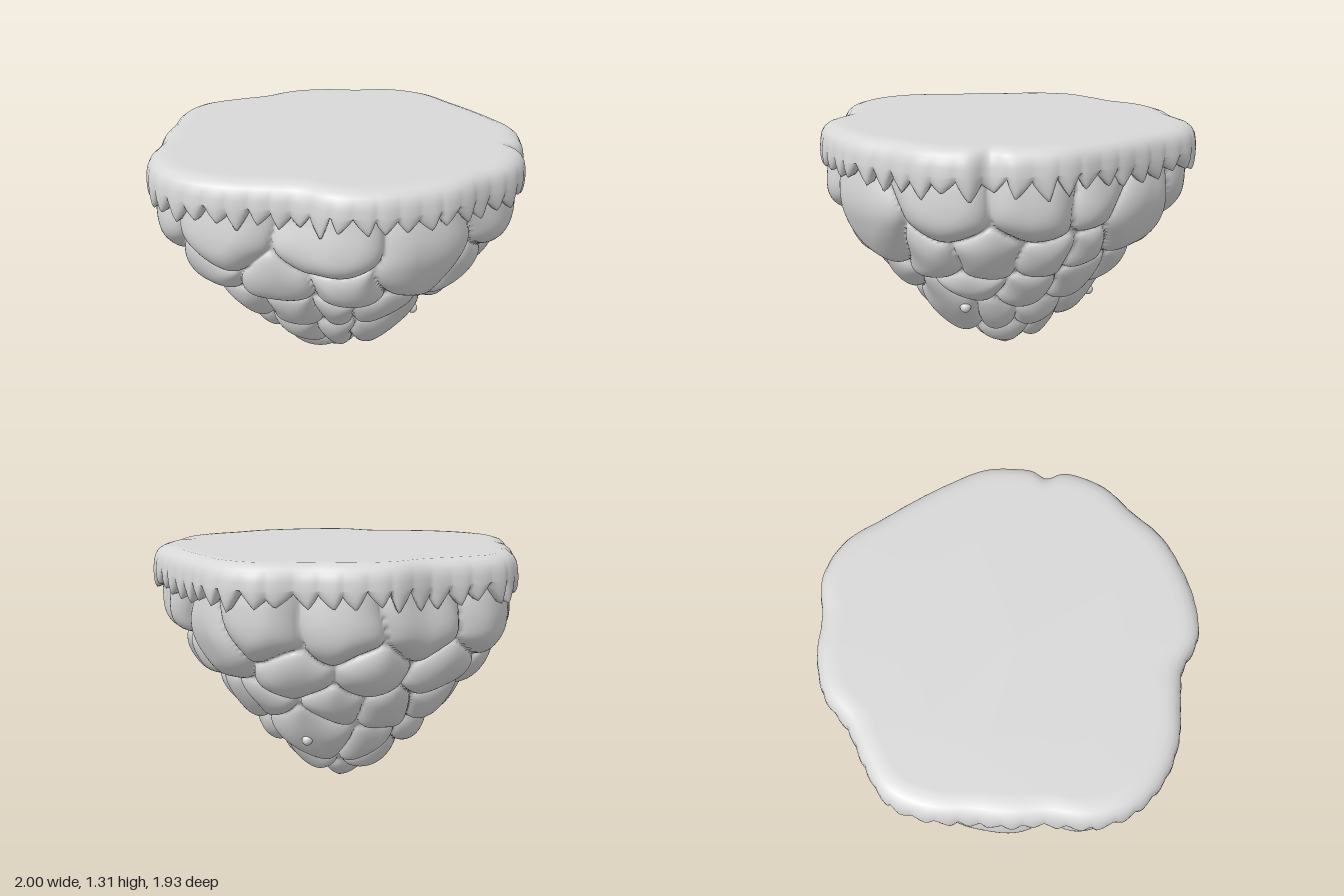
import * as THREE from 'three';

// Rim radius every 12 degrees, from +z towards +x
const RIM = [.95, .97, .97, 1.02, 1.03, 1.02, 1.03, 1, .99, 1.01, 1.07, 1.07, 1, 1, .985,
  .93, .955, 1, .97, .91, .9, .9, .97, 1, .98, .925, .855, .83, .91, .935];

function rimRadius(az) {
  const n = RIM.length, f = ((az / (2 * Math.PI)) % 1 + 1) % 1 * n;
  const i = Math.floor(f), t = f - i;
  const [a, b, c, d] = [-1, 0, 1, 2].map(k => RIM[(i + k + n) % n]);
  return b + .5 * t * (c - a + t * (2 * a - 5 * b + 4 * c - d + t * (3 * (b - c) + d - a)));
}

const hash = i => { const s = Math.sin(i * 127.1 + 3.7) * 43758.5453; return s - Math.floor(s); };

// Closed-ring surface: rows run top to bottom, columns wrap around the axis
function ringSurface(rows, cols, pointAt) {
  const pos = [], idx = [];
  for (let i = 0; i <= rows; i++)
    for (let j = 0; j < cols; j++) {
      pos.push(...pointAt(i, j / cols * 2 * Math.PI, j).toArray());
      if (i === rows) continue;
      const a = i * cols + j, b = i * cols + (j + 1) % cols;
      idx.push(a, a + cols, b, b, a + cols, b + cols);
    }
  const g = new THREE.BufferGeometry();
  g.setAttribute('position', new THREE.Float32BufferAttribute(pos, 3));
  g.setIndex(idx);
  g.computeVertexNormals();
  return g;
}

// Underlying cone of the island, before the boulders swell out
const PROFILE = new THREE.SplineCurve([[.9, 1.24], [.9, 1], [.845, .85], [.725, .68], [.54, .48],
  [.385, .3], [.2, .14], [.08, .08], [0, .05]].map(p => new THREE.Vector2(...p)));

function corePoint(s, y, az) {
  const up = Math.min(1, y / 1.1), lean = (1 - up) ** 2;
  const r = s * THREE.MathUtils.lerp(1, rimRadius(az), up);
  return new THREE.Vector3(.07 * lean + r * Math.sin(az), y, -.04 * lean + r * Math.cos(az));
}

function coreAtHeight(y, deg) {
  let lo = 0, hi = 1;
  for (let k = 0; k < 24; k++) {
    const m = (lo + hi) / 2;
    if (PROFILE.getPoint(m).y > y) lo = m; else hi = m;
  }
  return corePoint(PROFILE.getPoint(lo).x, y, deg * Math.PI / 180);
}

// Boulder centres: height, compass angles in degrees, extra size
const BOULDERS = [
  [1.0, [-26, 38, 69, 89, 131, 154, 179, -153, -124, -95, -64], .01],
  [.87, [8, 107], .03],
  [.73, [-48, -20, 30, 52, 74, 90, 137, 165, -165, -137, -107, -77], 0],
  [.53, [-47, -22, -5, 47, 66, 98, 118, 152, 177, -155, -128, -102, -74], 0],
  [.36, [14, 134], .025],
  [.31, [-50, -22, 50, 80, 172, -145, -95], 0],
  [.17, [-75, 70, 105, -160], 0],
];

function rockBody() {
  const seeds = BOULDERS.flatMap(([y, list, size]) => list.map(d =>
    ({ at: coreAtHeight(y + .05 * (hash(d + y) - .5), d), size })));
  seeds.push({ at: new THREE.Vector3(.07, .05, -.04), size: 0 });
  const heart = new THREE.Vector3(.03, 1.1, -.02);
  const rows = 145, cols = 440, soft = .018;
  const geo = ringSurface(rows, cols, (i, az) => {
    const c = PROFILE.getPointAt(i / rows);
    const p = corePoint(Math.max(0, c.x), c.y, az);
    // Slightly wavy seams
    const q = p.clone().add(new THREE.Vector3(Math.sin(p.y * 17 + p.z * 9), Math.sin(p.x * 13 + p.z * 15),
      Math.sin(p.x * 11 + p.y * 14)).multiplyScalar(.014));
    const reach = s => q.distanceToSquared(s.at) - s.size;
    const own = seeds.reduce((a, b) => reach(b) < reach(a) ? b : a);
    // Soft distance to the nearest seam, so the domes stay round
    let sum = 0;
    for (const s of seeds) if (s !== own)
      sum += Math.exp(-(reach(s) - reach(own)) / (2 * s.at.distanceTo(own.at)) / soft);
    const k = 1 - THREE.MathUtils.clamp(-soft * Math.log(sum) / .14, 0, 1);
    // Each boulder is a dome that overhangs the one below
    const dome = Math.pow(1 - k * k, .6);
    const swell = .075 * dome + .12 * (own.at.y - q.y) * dome - .01;
    const dir = p.clone().sub(heart);
    if (dir.y > 0) dir.y = 0;
    return p.addScaledVector(dir.normalize(), swell);
  });
  geo.computeBoundingBox();
  geo.translate(0, -geo.boundingBox.min.y, 0);
  return geo;
}

// Flat top with a rounded shoulder and a ragged, pointed hem
function grassCap() {
  const teeth = 56, per = 10, cols = teeth * per;
  // inset from the rim, height, share of hem shape
  const rings = [[2, 1.31], [.4, 1.31], [.13, 1.31], [.085, 1.308], [.05, 1.298], [.025, 1.28], [.01, 1.255],
    [.003, 1.225], [0, 1.19], [0, 0, .3], [.002, 0, .6], [.008, 0, .85], [.018, 0, 1], [.05, 0, .9], [.14, 1.2]];
  return ringSurface(rings.length - 1, cols, (i, az, j) => {
    const [inset, y, drop] = rings[i];
    const n = Math.floor(j / per), u = (j % per) / per;
    const peak = .3 + .4 * hash(n + 90);
    const tooth = u < peak ? u / peak : (1 - u) / (1 - peak);
    const side = u < peak ? hash(n) : hash((n + 1) % teeth);
    const tip = 1.065 + .05 * hash(n + 40), valley = 1.145 + .045 * side;
    const hem = THREE.MathUtils.lerp(valley, tip, Math.pow(tooth, .85));
    const h = drop ? THREE.MathUtils.lerp(1.2, hem, drop) : y;
    const bulge = i > 5 && i < 13 ? .016 * (Math.sin(Math.PI * tooth / 2) - .6) * (i - 5) / 7 : 0;
    // One sharp notch beside the front left corner
    const notch = i > 1 ? .05 * Math.exp(-(((az * 180 / Math.PI - 53.5) / 3.5) ** 2)) : 0;
    const r = inset === 2 ? 0 : rimRadius(az) - inset - notch + bulge;
    return new THREE.Vector3(r * Math.sin(az), h, r * Math.cos(az));
  });
}

// Vertex of a surface closest to a point
function nearestOn(geo, target) {
  const pos = geo.attributes.position, v = new THREE.Vector3(), best = new THREE.Vector3(9, 9, 9);
  for (let i = 0; i < pos.count; i++) {
    v.fromBufferAttribute(pos, i);
    if (v.distanceToSquared(target) < best.distanceToSquared(target)) best.copy(v);
  }
  return best;
}

export function createModel() {
  const model = new THREE.Group();
  model.name = 'floatingIsland';
  const stone = new THREE.MeshStandardMaterial({ color: 0xd8d8d8 });
  stone.name = 'grey stone';
  const add = (name, geo) => {
    const mesh = new THREE.Mesh(geo, stone);
    mesh.name = name;
    model.add(mesh);
    return mesh;
  };
  const rocks = rockBody();
  add('boulderBody', rocks);
  add('grassCap', grassCap());
  // Small round pebbles stuck on the lower boulders
  for (const [x, z] of [[.33, .41], [.38, -.36]])
    add('pebble', new THREE.SphereGeometry(.028, 20, 14))
      .position.copy(nearestOn(rocks, new THREE.Vector3(x, .36, z)));
  return model;
}
